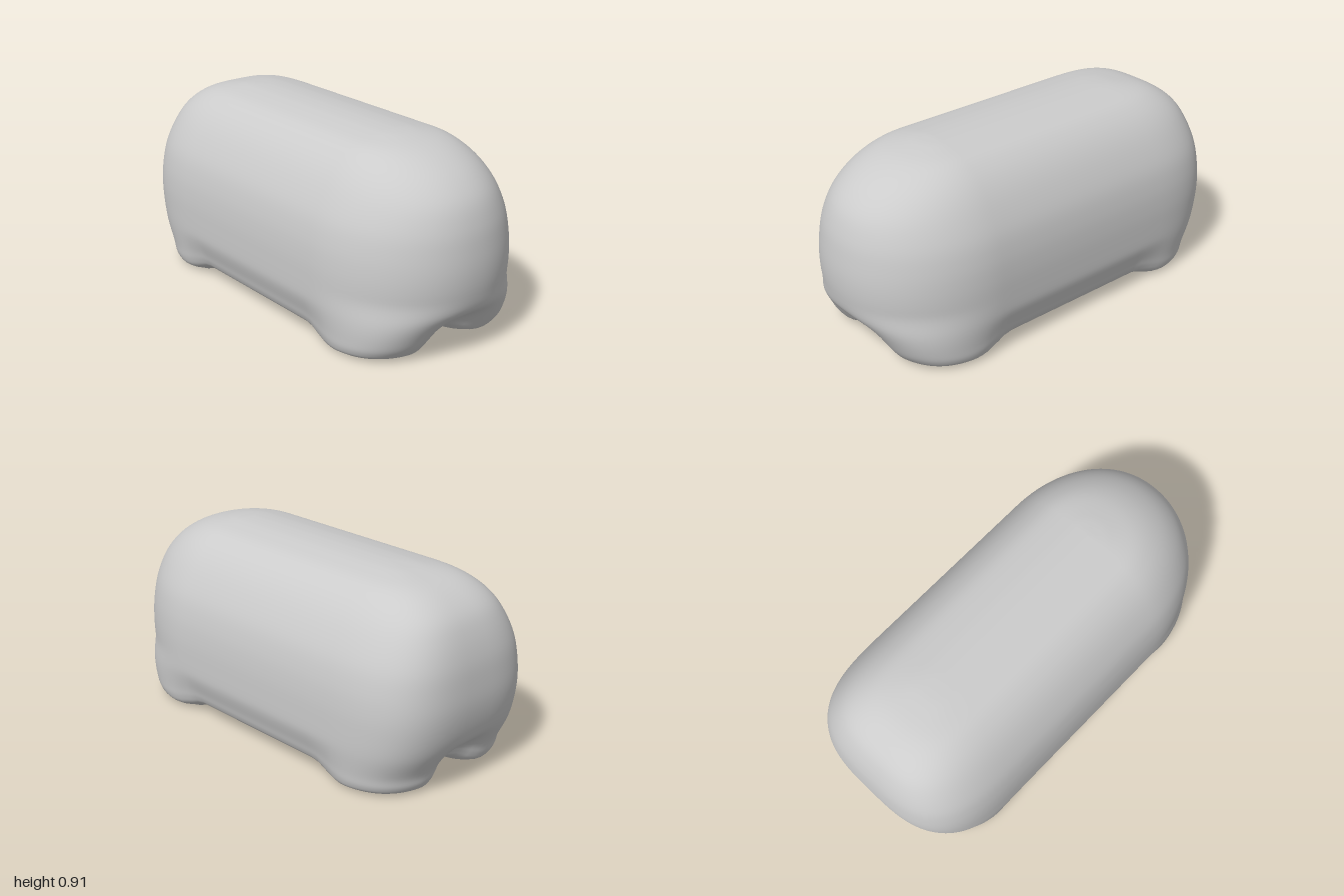
import * as THREE from 'three';
import { mergeVertices } from 'three/addons/utils/BufferGeometryUtils.js';

// Profile rows: height, half width, reach to the front, reach to the back
const PROFILE = [
  [0, 0.38, 0.76, 0.82], [0.013, 0.437, 0.83, 0.872], [0.045, 0.457, 0.868, 0.895],
  [0.1, 0.464, 0.91, 0.91], [0.2, 0.474, 0.97, 0.96], [0.3, 0.477, 0.993, 0.988],
  [0.4, 0.476, 1, 1], [0.5, 0.466, 0.993, 0.996], [0.6, 0.442, 0.975, 0.982],
  [0.7, 0.396, 0.935, 0.95], [0.78, 0.343, 0.865, 0.905], [0.84, 0.282, 0.775, 0.835],
  [0.88, 0.212, 0.675, 0.745], [0.903, 0.11, 0.56, 0.62], [0.91, 0.05, 0.49, 0.53],
  [0.912, 0, 0.45, 0.45],
];
const spline = (pick) => new THREE.CatmullRomCurve3(
  PROFILE.map((r) => new THREE.Vector3(...pick(r))), false, 'catmullrom', 0.5);
const heights = spline((r) => [r[0], 0, 0]);
const reaches = spline((r) => [r[1], r[2], r[3]]);

const smooth = THREE.MathUtils.smoothstep;
const STRAIGHT = 0.45; // the sides run straight between -STRAIGHT and +STRAIGHT
const END_STEPS = 56, SIDE_STEPS = 20;

// Plan outline: round nose, squarer tail, straight sides
function outline(w, front, back, low) {
  const points = [];
  const power = (v, n) => Math.sign(v) * Math.pow(Math.abs(v), 2 / n);
  for (const [dir, reach, n] of [[1, front, 2.1 + 1.1 * low], [-1, back, 3.2]]) {
    for (let i = 0; i <= END_STEPS; i++) {
      const a = (i / END_STEPS) * Math.PI;
      const x = w * power(Math.cos(a), n);
      const z = STRAIGHT + (reach - STRAIGHT) * power(Math.max(0, Math.sin(a)), n);
      points.push([dir * x, dir * z]);
    }
    for (let i = 1; i < SIDE_STEPS; i++) {
      points.push([-dir * w, dir * STRAIGHT * (1 - (2 * i) / SIDE_STEPS)]);
    }
  }
  return points;
}

// 1 between the four feet, 0 on them
function gapAt(x, z) {
  const centre = z > 0 ? 0.65 : 0.7;
  const d = Math.hypot((Math.abs(x) - 0.28) / 0.26, (Math.abs(z) - centre) / 0.3);
  return smooth(d, 0.62, 1.15);
}

// Raise the belly and hollow the space between the feet
function shapeFeet(x, y, z) {
  const low = 1 - smooth(y, 0, 0.22);
  const gap = gapAt(x, z);
  const dent = Math.exp(-((x / 0.11) ** 2)) * smooth(Math.abs(z), 0.4, 0.8);
  return [
    x * (1 - 0.05 * gap * low),
    y + 0.048 * gap * (1 - smooth(y, 0, 0.3)),
    z * (1 - 0.12 * dent * low),
  ];
}

function bodyGeometry() {
  const positions = [], index = [];
  let rings = 0;
  const addRing = (t, scale) => {
    const y = heights.getPoint(t).x;
    const r = reaches.getPoint(t);
    const low = 1 - smooth(y, 0, 0.3);
    for (const [x, z] of outline(r.x, r.y, r.z, low)) {
      positions.push(...shapeFeet(x * scale, y, z * scale));
    }
    rings++;
  };
  // underside from the middle outwards, then up the sides to the ridge
  for (let i = 0; i < 24; i++) addRing(0, i / 24);
  for (let i = 0; i <= 75; i++) addRing(i / 75, 1);

  const count = positions.length / 3 / rings;
  for (let r = 0; r < rings - 1; r++) {
    for (let i = 0; i < count; i++) {
      const a = r * count + i, b = r * count + ((i + 1) % count);
      index.push(a, a + count, b, b, a + count, b + count);
    }
  }
  let geometry = new THREE.BufferGeometry();
  geometry.setAttribute('position', new THREE.Float32BufferAttribute(positions, 3));
  geometry.setIndex(index);
  geometry = mergeVertices(geometry, 1e-5);
  geometry.computeVertexNormals();
  return geometry;
}

export function createModel() {
  const group = new THREE.Group();
  group.name = 'roundedBody';
  const body = new THREE.Mesh(bodyGeometry(), new THREE.MeshStandardMaterial({ color: 0xcccccc }));
  body.name = 'bodyWithFeet';
  group.add(body);
  return group;
}
